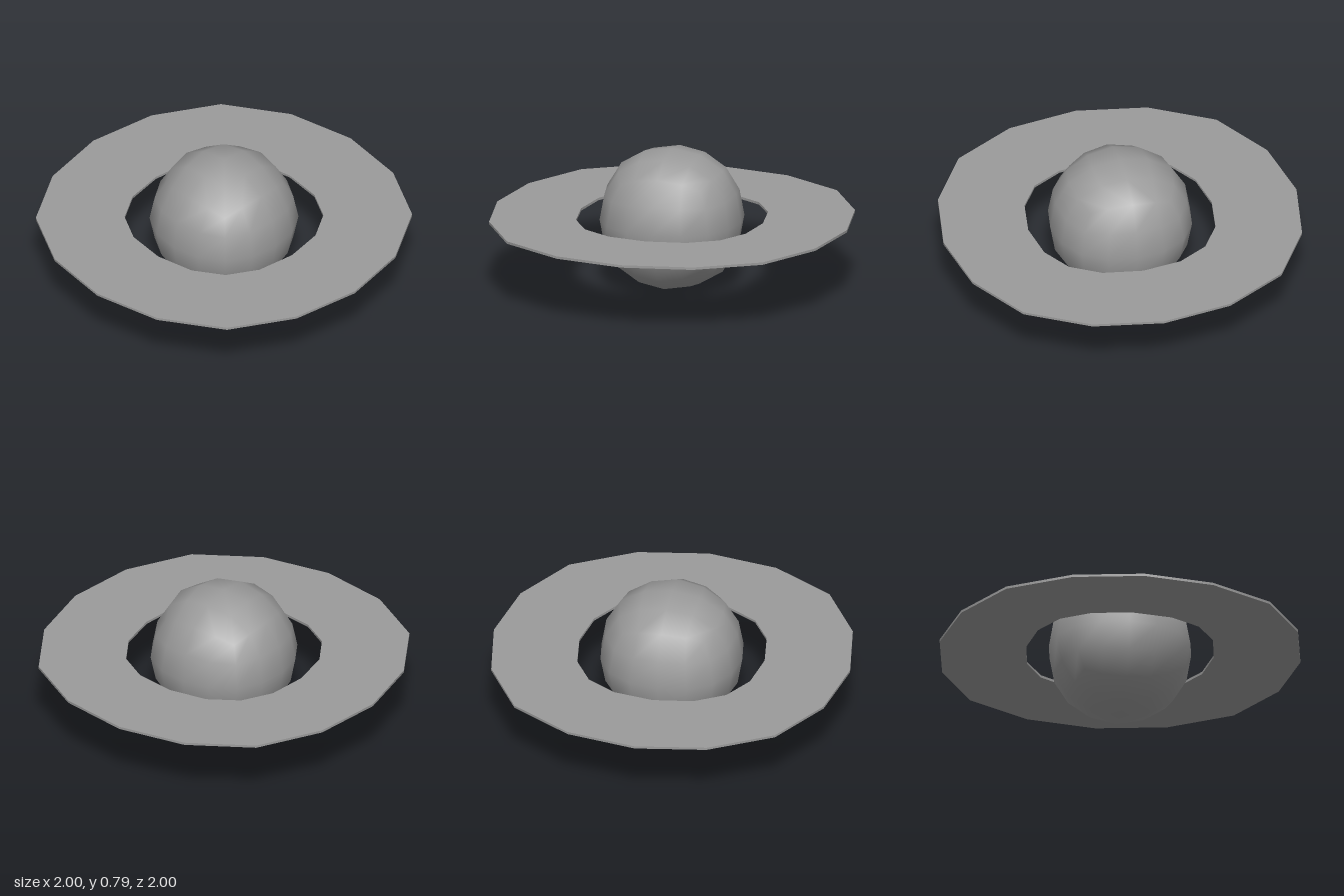
import * as THREE from 'three';
import { mergeVertices } from 'three/addons/utils/BufferGeometryUtils.js';

const RADIUS = 0.395;
const RING_THICKNESS = 0.014;

// A twice-subdivided cube: each grid vertex belongs to one of six symmetry classes,
// which gives the rounded coordinate for every grid index (0 = middle, 2 = cube edge).
const ROUNDED = {
  '002': [0, 0, 0.878],
  '012': [0, 0.351, 0.819],
  '112': [0, 0.326, 0.764],
  '022': [0, 0, 0.643],
  '122': [0, 0.302, 0.599],
  '222': [0, 0, 0.509],
};

function roundedCube(radius) {
  let geo = new THREE.BoxGeometry(4, 4, 4, 4, 4, 4);
  geo.deleteAttribute('normal');
  geo.deleteAttribute('uv');
  geo = mergeVertices(geo);
  const pos = geo.attributes.position;
  const scale = radius / 0.878;
  for (let i = 0; i < pos.count; i++) {
    const p = [pos.getX(i), pos.getY(i), pos.getZ(i)].map(Math.round);
    const row = ROUNDED[p.map(Math.abs).sort().join('')];
    pos.setXYZ(i, ...p.map((c) => Math.sign(c) * row[Math.abs(c)] * scale));
  }
  geo.computeVertexNormals();
  return geo;
}

// Sixteen-sided outline: four points per quarter, turned about the centre
function outline(quarter) {
  const points = [];
  for (let k = 0; k < 4; k++) {
    for (const [x, y] of quarter) {
      points.push(new THREE.Vector2(x, y).rotateAround(new THREE.Vector2(), k * Math.PI / 2));
    }
  }
  return points;
}

// Shade the rims smoothly: rim normals point straight out from, or in to, the axis
function smoothRims(geo) {
  const { position, normal } = geo.attributes;
  for (let i = 0; i < position.count; i++) {
    if (Math.abs(normal.getY(i)) > 0.5) continue;
    const radial = new THREE.Vector3(position.getX(i), 0, position.getZ(i)).normalize();
    const facing = new THREE.Vector3().fromBufferAttribute(normal, i).dot(radial);
    radial.multiplyScalar(Math.sign(facing));
    normal.setXYZ(i, radial.x, 0, radial.z);
  }
}

export function createModel() {
  const model = new THREE.Group();
  model.name = 'ringedPlanet';
  const material = new THREE.MeshStandardMaterial({ color: 0x9b9b9b });

  // Smooth globe
  const globe = new THREE.Mesh(roundedCube(RADIUS), material);
  globe.name = 'globe';
  globe.position.y = RADIUS;
  model.add(globe);

  // Thin flat ring around the middle
  const shape = new THREE.Shape(outline([[1, 0], [0.933, 0.39], [0.731, 0.731], [0.39, 0.933]]));
  shape.holes.push(new THREE.Path(outline([[0.52, 0], [0.485, 0.222], [0.386, 0.386], [0.222, 0.485]])));
  const ringGeo = new THREE.ExtrudeGeometry(shape, { depth: RING_THICKNESS, bevelEnabled: false });
  ringGeo.translate(0, 0, -RING_THICKNESS / 2);
  ringGeo.rotateX(-Math.PI / 2);
  smoothRims(ringGeo);
  const ring = new THREE.Mesh(ringGeo, material);
  ring.name = 'ring';
  ring.position.y = RADIUS;
  model.add(ring);

  return model;
}
